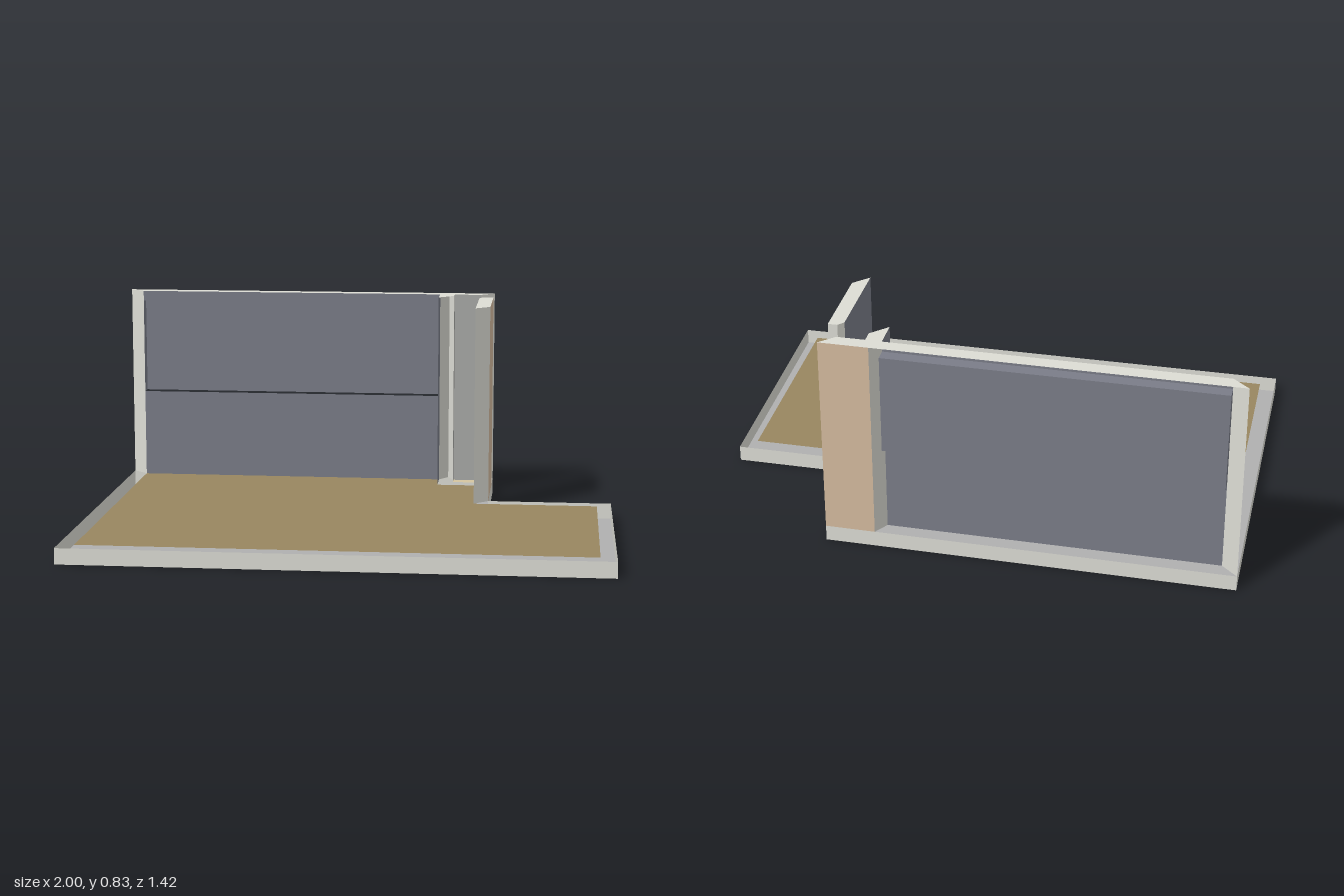
import * as THREE from 'three';

const FLOOR = 0.06, TOP = 0.83;
const mat = (color) => new THREE.MeshStandardMaterial({ color, side: THREE.DoubleSide, flatShading: true });

export function createModel() {
  const group = new THREE.Group();
  const plaster = mat(0xdcdcd4), blue = mat(0x7a7d88), beige = mat(0xd5bb9f);
  const grey = mat(0xa8a9a6), base = mat(0xb0b0b0), wood = mat(0x988660), paleWood = mat(0xd5c5a0);

  // Horizontal sheet from an outline of [x, z] points
  function sheet(name, outline, y, material) {
    const shape = new THREE.Shape(outline.map(([x, z]) => new THREE.Vector2(x, -z)));
    const mesh = new THREE.Mesh(new THREE.ShapeGeometry(shape).rotateX(-Math.PI / 2), material);
    mesh.position.y = y;
    mesh.name = name;
    group.add(mesh);
  }

  // Upright sheets along a path of [x, z] points
  function upright(name, path, y0, y1, material) {
    const part = new THREE.Group();
    part.name = name;
    for (let i = 0; i + 1 < path.length; i++) {
      const [ax, az] = path[i], [bx, bz] = path[i + 1];
      const mesh = new THREE.Mesh(new THREE.PlaneGeometry(Math.hypot(bx - ax, bz - az), y1 - y0), material);
      mesh.position.set((ax + bx) / 2, (y0 + y1) / 2, (az + bz) / 2);
      mesh.rotation.y = -Math.atan2(bz - az, bx - ax);
      mesh.name = name + 'Panel';
      part.add(mesh);
    }
    group.add(part);
  }

  // Base plate with a skirt around it
  const outline = [[-1, -0.713], [0.51, -0.707], [0.51, -0.25], [0.99, -0.25], [1, 0.71], [-1, 0.71]];
  sheet('basePlate', outline, 0, base);
  upright('skirt', [...outline, outline[0]], 0, FLOOR, plaster);

  // Floors, set in from the skirt
  sheet('roomFloor', [[-0.94, -0.658], [0.29, -0.655], [0.29, -0.547], [0.455, -0.547],
    [0.455, -0.195], [0.935, -0.195], [0.94, 0.652], [-0.94, 0.652]], FLOOR, wood);
  sheet('shaftFloor', [[0.35, -0.655], [0.455, -0.655], [0.455, -0.607], [0.35, -0.607]], FLOOR, paleWood);

  // Back wall: lower panel, header and a shallow niche between them, open at its sill
  const left = [-0.94, -0.658], right = [0.29, -0.655];
  const nicheLeft = [-0.94, -0.705], nicheRight = [0.29, -0.702];
  upright('backWallLower', [left, right], FLOOR, 0.41, blue);
  upright('backWallHeader', [left, right], 0.79, TOP, blue);
  upright('niche', [left, nicheLeft, nicheRight, right], 0.41, 0.79, blue);
  sheet('nicheTop', [left, right, nicheRight, nicheLeft], 0.79, blue);

  // Shaft corner: blue room side, grey inner side, beige outside
  upright('shaftRoomFace', [[0.29, -0.655], [0.29, -0.547]], FLOOR, TOP, blue);
  upright('shaftInnerFace', [[0.35, -0.607], [0.35, -0.655], [0.455, -0.655]], FLOOR, TOP, grey);
  upright('shaftOuterFace', [[0.325, -0.708], [0.51, -0.707]], FLOOR, TOP, beige);

  // Side wall beside the notch
  upright('sideWallInner', [[0.455, -0.547], [0.455, -0.195]], FLOOR, TOP, blue);
  upright('sideWallOuter', [[0.51, -0.57], [0.51, -0.25]], FLOOR, TOP, beige);

  // Mitred wall ends
  [
    [[-1, -0.713], left],
    [[0.29, -0.655], [0.325, -0.708], [0.35, -0.655]],
    [[0.455, -0.655], [0.51, -0.707]],
    [[0.455, -0.195], [0.51, -0.25]],
    [[0.455, -0.547], [0.475, -0.57], [0.51, -0.57]],
  ].forEach((path) => upright('wallEnd', path, FLOOR, TOP, plaster));

  // Wall tops
  sheet('backWallTop', [[-1, -0.713], [0.51, -0.707], [0.455, -0.655], [0.35, -0.655],
    [0.35, -0.607], [0.29, -0.547], right, left], TOP, plaster);
  sheet('sideWallTop', [[0.455, -0.195], [0.51, -0.25], [0.51, -0.57], [0.475, -0.57], [0.455, -0.547]], TOP, plaster);

  return group;
}
